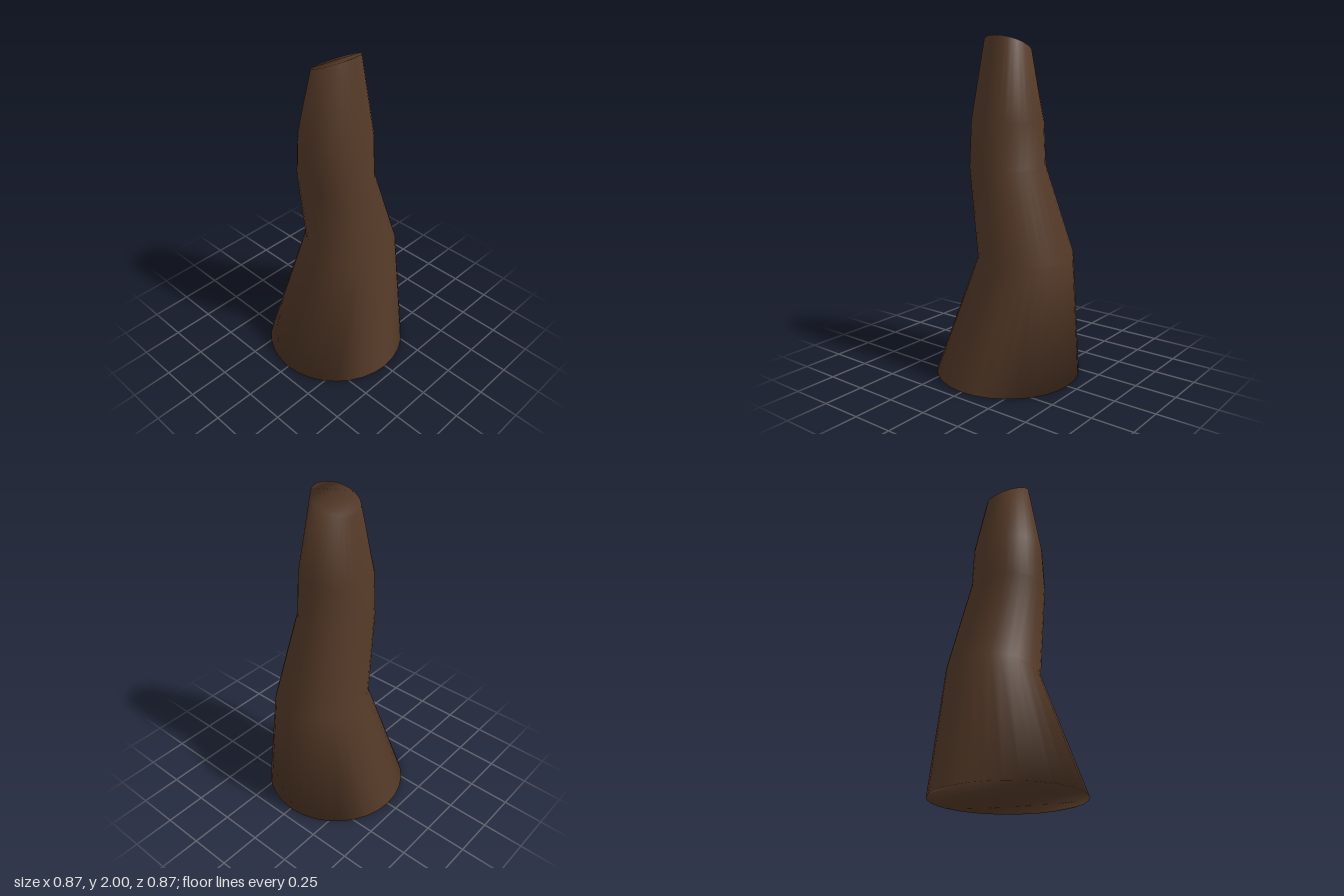
import * as THREE from 'three';

const SIDES = 32;

// Each ring: height, centre z, radii in x and z, and slope of its plane along x
const RINGS = [
  { y: 0, z: 0, rx: 0.436, rz: 0.436, tilt: 0 },
  { y: 0.75, z: -0.13, rx: 0.278, rz: 0.28, tilt: -0.11 },
  { y: 1.26, z: 0.002, rx: 0.224, rz: 0.223, tilt: -0.04 },
  { y: 1.525, z: 0.002, rx: 0.21, rz: 0.212, tilt: 0 },
  { y: 1.945, z: 0, rx: 0.128, rz: 0.141, tilt: 0.43 },
];

function bentColumn() {
  const points = [];
  const index = [];
  for (const r of RINGS) {
    for (let i = 0; i < SIDES; i++) {
      const a = (i / SIDES) * Math.PI * 2;
      const x = Math.cos(a) * r.rx;
      points.push(x, r.y + x * r.tilt, r.z + Math.sin(a) * r.rz);
    }
  }

  // Side walls between neighbouring rings
  for (let k = 0; k < RINGS.length - 1; k++) {
    for (let i = 0; i < SIDES; i++) {
      const j = (i + 1) % SIDES;
      const a = k * SIDES + i, b = k * SIDES + j;
      index.push(a, a + SIDES, b, b, a + SIDES, b + SIDES);
    }
  }

  // Caps filled in strips, sharing the rim vertices so shading stays smooth
  const top = (RINGS.length - 1) * SIDES;
  const capTriangle = (a, b, c) => {
    index.push(a, b, c);
    index.push(top + a, top + c, top + b);
  };
  for (let k = 0; k < SIDES / 2; k++) {
    const m = SIDES - k;
    if (m - 1 !== k + 1) capTriangle(k, k + 1, m - 1);
    if (k > 0) capTriangle(k, m - 1, m);
  }

  const geometry = new THREE.BufferGeometry();
  geometry.setAttribute('position', new THREE.Float32BufferAttribute(points, 3));
  geometry.setIndex(index);
  geometry.computeVertexNormals();
  return geometry;
}

export function createModel() {
  const model = new THREE.Group();
  model.name = 'bentStump';
  const brown = new THREE.MeshStandardMaterial({ color: 0x553a28 });
  brown.name = 'dark brown';
  const trunk = new THREE.Mesh(bentColumn(), brown);
  trunk.name = 'trunk';
  model.add(trunk);
  return model;
}
